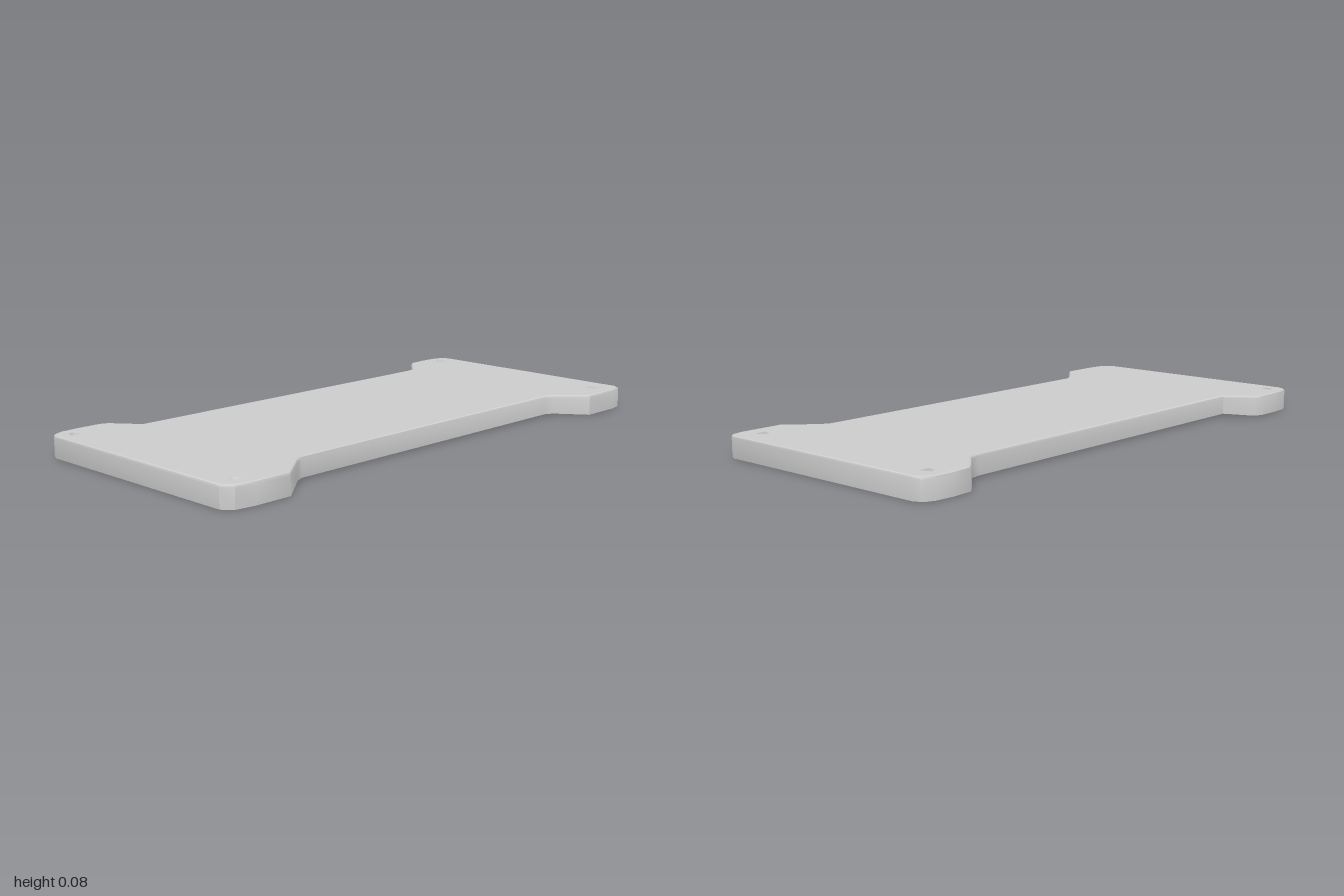
import * as THREE from 'three';
import { toCreasedNormals } from 'three/addons/utils/BufferGeometryUtils.js';

const TOP = 0.08;

// Plan outline as [x, z], clockwise seen from above, starting at the back right corner
const OUTLINE = [
  [-1, -0.42], [-0.985, -0.45], [-0.95, -0.465], [-0.88, -0.47], [-0.79, -0.468], [-0.76, -0.455], [-0.69, -0.36],
  [0.66, -0.36], [0.7, -0.368], [0.78, -0.445], [0.805, -0.465], [0.88, -0.47], [0.95, -0.465], [0.985, -0.45], [1, -0.42],
  [1, 0.43], [0.985, 0.455], [0.94, 0.465], [0.78, 0.465], [0.68, 0.37], [0.65, 0.355],
  [-0.61, 0.355], [-0.64, 0.368], [-0.76, 0.465], [-0.9, 0.465], [-0.97, 0.455], [-1, 0.42],
];

// Small four-sided dimples near the corners: centre x, centre z, depth
const DIMPLES = [[-0.935, -0.4, 0.02], [0.92, -0.4, 0.02], [0.91, 0.388, 0.02], [-0.925, 0.405, 0.008]];
const DIMPLE_CORNERS = [[-0.022, 0.016], [0.022, 0.014], [0.006, -0.022], [-0.016, -0.016]];

const material = new THREE.MeshStandardMaterial({ color: 0xcccccc, side: THREE.DoubleSide });

function inset(points, d) {
  const n = points.length;
  return points.map(([x, z], i) => {
    const a = points[(i + n - 1) % n], b = points[(i + 1) % n];
    const tx = b[0] - a[0], tz = b[1] - a[1], len = Math.hypot(tx, tz);
    return [x - (tz / len) * d, z + (tx / len) * d];
  });
}

// Flat horizontal sheet with optional holes
function sheet(points, y, holes = []) {
  const toVectors = (pts) => pts.map(([x, z]) => new THREE.Vector2(x, -z));
  const shape = new THREE.Shape(toVectors(points));
  shape.holes = holes.map((h) => new THREE.Path(toVectors(h)));
  return new THREE.ShapeGeometry(shape).rotateX(-Math.PI / 2).translate(0, y, 0);
}

// Wall strip joining closed rings of [x, y, z] points, top ring first
function walls(rings) {
  const n = rings[0].length, index = [];
  for (let r = 0; r < rings.length - 1; r++) {
    for (let i = 0; i < n; i++) {
      const a = r * n + i, b = r * n + (i + 1) % n;
      index.push(a, b, a + n, b, b + n, a + n);
    }
  }
  const geometry = new THREE.BufferGeometry();
  geometry.setAttribute('position', new THREE.Float32BufferAttribute(rings.flat(2), 3));
  geometry.setIndex(index);
  return toCreasedNormals(geometry, 0.7);
}

const ring = (points, y) => points.map(([x, z]) => [x, typeof y === 'function' ? y(z) : y, z]);

export function createModel() {
  const model = new THREE.Group();
  model.name = 'tray';
  const add = (name, geometry) => {
    const mesh = new THREE.Mesh(geometry, material);
    mesh.name = name;
    model.add(mesh);
  };

  // Top panel, pierced where the dimples sit
  const topEdge = inset(OUTLINE, 0.007);
  const mouths = DIMPLES.map(([cx, cz]) => DIMPLE_CORNERS.map(([x, z]) => [cx + x, cz + z]));
  add('topPanel', sheet(topEdge, TOP, mouths));

  // Thin skirt with an eased upper edge, open underneath and slightly deeper at the corners
  const hem = (z) => (Math.abs(z) > 0.4 ? 0.004 : 0.01);
  add('skirt', walls([
    ring(topEdge, TOP), ring(inset(OUTLINE, 0.002), TOP - 0.003), ring(OUTLINE, TOP - 0.009), ring(OUTLINE, hem),
  ]));

  // Tapered corner dimples
  DIMPLES.forEach(([cx, cz, depth], i) => {
    const floor = mouths[i].map(([x, z]) => [cx + (x - cx) * 0.6, cz + (z - cz) * 0.6]);
    add('dimpleWall', walls([ring(mouths[i], TOP), ring(floor, TOP - depth)]));
    add('dimpleFloor', sheet(floor, TOP - depth));
  });

  // Rest the lowest edge on the ground
  model.position.y = -0.004;
  return model;
}
